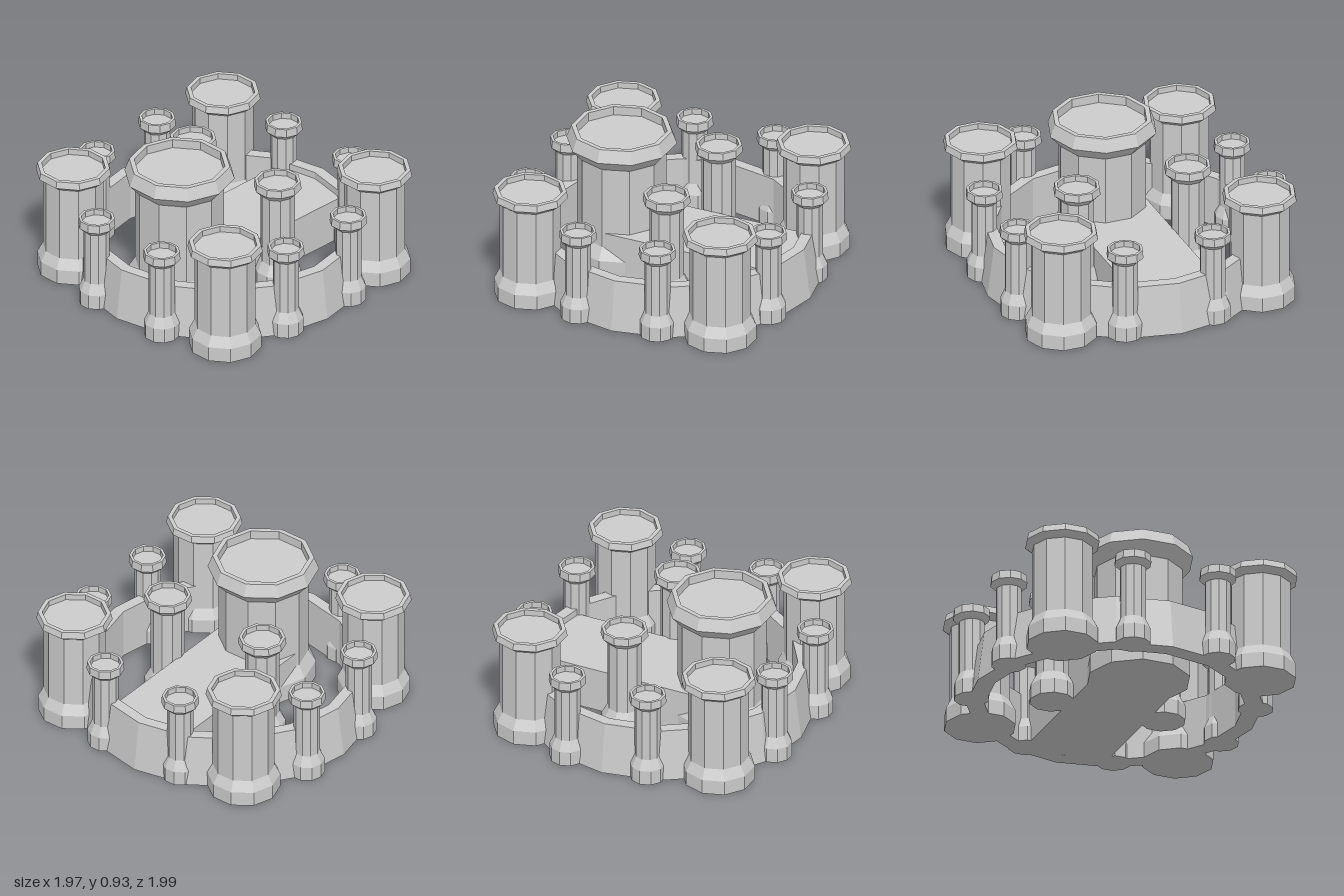
import * as THREE from 'three';

const material = new THREE.MeshStandardMaterial({ color: 0xcccccc, flatShading: true });

// Revolve [radius, height] pairs, running from the bottom upwards
function turned(name, profile, sides, x, z) {
  const points = profile.map(([r, y]) => new THREE.Vector2(r, y));
  const mesh = new THREE.Mesh(new THREE.LatheGeometry(points, sides), material);
  mesh.name = name;
  mesh.position.set(x, 0, z);
  return mesh;
}

// Ten-sided tower: flared foot, plain shaft, flared cap with a sunken floor
function tower(name, x, z, s) {
  return turned(name, [
    [0, 0], [s.foot, 0], [s.foot, s.footTop], [s.shaft, s.shaftStart],
    [s.shaft, s.shaftEnd], [s.cap, s.capBottom], [s.rim, s.top],
    [s.inner, s.top], [s.inner, s.floor], [0, s.floor],
  ], 10, x, z);
}

const KEEP = { foot: 0.34, footTop: 0.12, shaft: 0.29, shaftStart: 0.2, shaftEnd: 0.765,
  cap: 0.36, capBottom: 0.845, rim: 0.328, top: 0.93, inner: 0.296, floor: 0.87 };
const CORNER = { foot: 0.236, footTop: 0.1, shaft: 0.2, shaftStart: 0.17, shaftEnd: 0.68,
  cap: 0.246, capBottom: 0.715, rim: 0.236, top: 0.76, inner: 0.208, floor: 0.72 };
const COURT = { foot: 0.15, footTop: 0.1, shaft: 0.112, shaftStart: 0.17, shaftEnd: 0.655,
  cap: 0.156, capBottom: 0.7, rim: 0.15, top: 0.75, inner: 0.13, floor: 0.71 };
const TURRET = { foot: 0.116, footTop: 0.1, shaft: 0.085, shaftStart: 0.17, shaftEnd: 0.535,
  cap: 0.122, capBottom: 0.57, rim: 0.118, top: 0.625, inner: 0.1, floor: 0.585 };

export function createModel() {
  const castle = new THREE.Group();
  castle.name = 'castle';

  // Ring wall with a battered outer face
  castle.add(turned('ringWall', [
    [0.84, 0], [0.96, 0], [0.915, 0.345], [0.84, 0.345], [0.84, 0],
  ], 16, 0.024, 0.003));

  // Hall running from the keep to the wall
  const hall = new THREE.Mesh(new THREE.BoxGeometry(1.225, 0.3, 0.57), material);
  hall.name = 'hall';
  hall.position.set(0.2475, 0.15, 0.005);
  castle.add(hall);

  castle.add(tower('keep', -0.365, 0.003, KEEP));

  // Four corner towers
  for (const x of [-0.67, 0.688])
    for (const z of [-0.66, 0.725]) castle.add(tower('cornerTower', x, z, CORNER));

  // Two towers beside the hall
  for (const z of [-0.385, 0.388]) castle.add(tower('courtTower', 0.143, z, COURT));

  // Pairs of turrets along each stretch of wall
  const turrets = [
    [-0.26, -0.86], [0.308, -0.88], [-0.26, 0.868], [0.308, 0.868],
    [-0.868, -0.25], [-0.868, 0.345], [0.85, -0.267], [0.85, 0.345],
  ];
  for (const [x, z] of turrets) castle.add(tower('wallTurret', x, z, TURRET));

  return castle;
}
